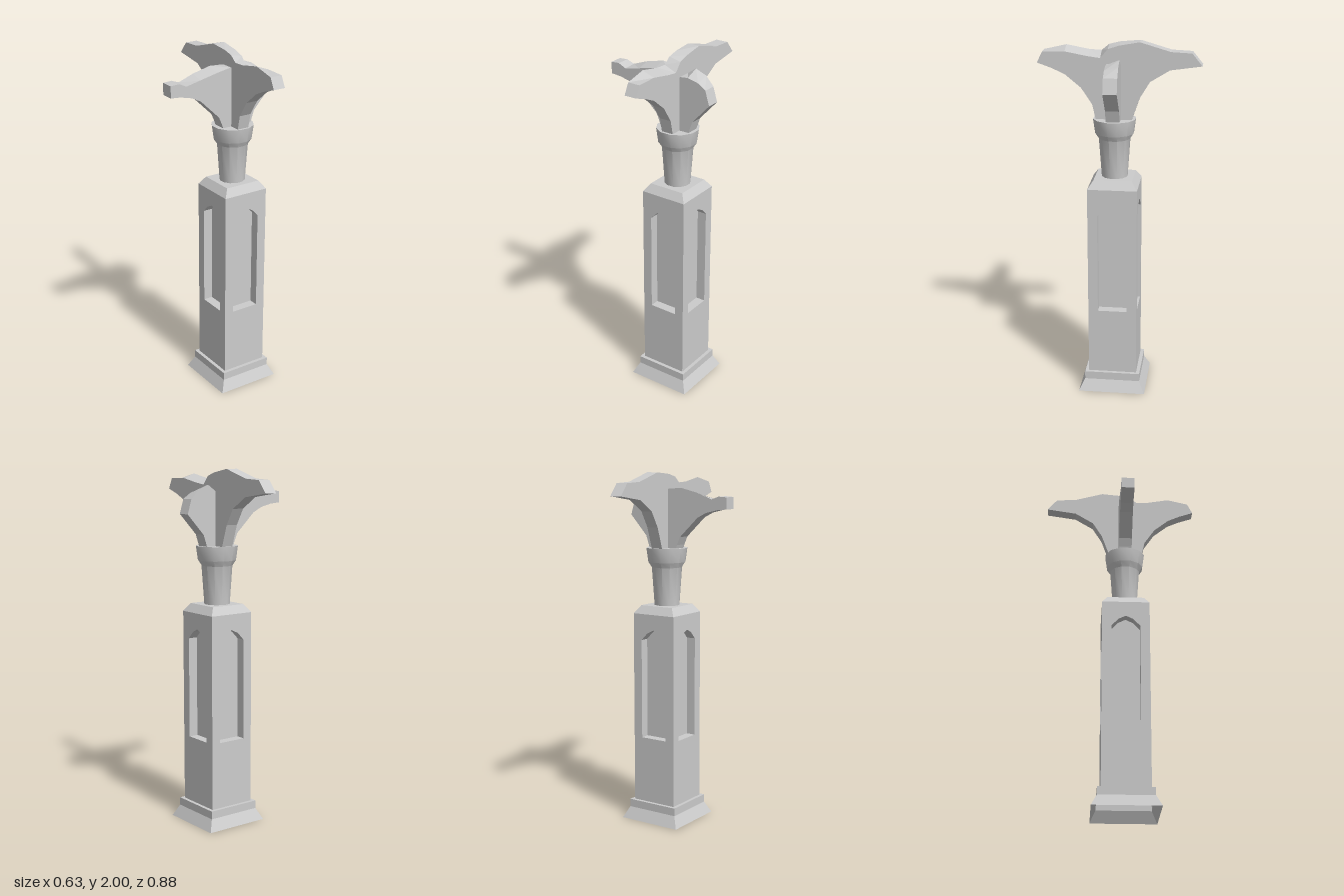
import * as THREE from 'three';
import { toCreasedNormals } from 'three/addons/utils/BufferGeometryUtils.js';

const stone = new THREE.MeshStandardMaterial({ color: 0xcccccc, side: THREE.DoubleSide });
stone.name = 'grey stone';

function addMesh(parent, name, geometry) {
  const mesh = new THREE.Mesh(geometry, stone);
  mesh.name = name;
  parent.add(mesh);
  return mesh;
}

// Square section swept upward from [half width, y] pairs
function squareLathe(profile) {
  const points = profile.map(([h, y]) => new THREE.Vector2(h * Math.SQRT2, y));
  return toCreasedNormals(new THREE.LatheGeometry(points, 4, Math.PI / 4), 0.1);
}

// Column wall with an arched opening, mitred at the corners
function wallGeometry(half, inner, bottom, top) {
  const shape = new THREE.Shape([[-half, bottom], [half, bottom], [half, top], [-half, top]]
    .map(p => new THREE.Vector2(...p)));
  const arch = [[-inner, 0.49], [-inner, 1.06], [-0.042, 1.102], [0, 1.122],
    [0.042, 1.102], [inner, 1.06], [inner, 0.49]];
  shape.holes.push(new THREE.Path(arch.map(p => new THREE.Vector2(...p))));
  const geo = new THREE.ExtrudeGeometry(shape, { depth: half - inner, bevelEnabled: false });
  geo.translate(0, 0, inner);
  const pos = geo.attributes.position;
  for (let i = 0; i < pos.count; i++) {
    const x = pos.getX(i);
    if (pos.getZ(i) < inner + 0.001 && Math.abs(x) > inner + 0.001) pos.setX(i, Math.sign(x) * inner);
  }
  geo.computeVertexNormals();
  return geo;
}

// Slab leaf from [along, y, drop]; drop lowers that point on one side for a faceted top
function leafGeometry(outline, thickness, lowSide) {
  const shape = new THREE.Shape(outline.map(([u, y]) => new THREE.Vector2(u, y)));
  const geo = new THREE.ExtrudeGeometry(shape, { depth: thickness, bevelEnabled: false });
  geo.translate(0, 0, -thickness / 2);
  const pos = geo.attributes.position;
  for (let i = 0; i < pos.count; i++) {
    if (pos.getZ(i) * lowSide < 0) continue;
    const hit = outline.find(([u, y]) =>
      Math.abs(u - pos.getX(i)) < 1e-4 && Math.abs(y - pos.getY(i)) < 1e-4);
    if (hit && hit[2]) pos.setY(i, hit[1] - hit[2]);
  }
  geo.computeVertexNormals();
  return geo;
}

export function createModel() {
  const model = new THREE.Group();
  model.name = 'stonePillar';
  const post = new THREE.Group();
  post.name = 'post';
  post.position.set(0.094, 0, 0.028);
  model.add(post);

  // Flared foot, hollow underneath
  addMesh(post, 'foot', squareLathe([[0.188, 0], [0.156, 0.065], [0.156, 0.11], [0.13, 0.11]]));

  // Column core and four walls with arched niches
  const half = 0.136, inner = 0.082;
  const core = addMesh(post, 'columnCore', new THREE.BoxGeometry(inner * 2, 1.1, inner * 2));
  core.position.y = 0.66;
  const floor = addMesh(post, 'columnUnderside', new THREE.BoxGeometry(half * 2, 0.01, half * 2));
  floor.position.y = 0.115;
  const wall = wallGeometry(half, inner, 0.11, 1.21);
  for (let i = 0; i < 4; i++) {
    addMesh(post, 'nicheWall', wall).rotation.y = i * Math.PI / 2;
  }
  addMesh(post, 'columnCap', squareLathe([[half, 1.21], [0.105, 1.255], [0, 1.255]]));

  // Round neck widening to a cup
  const neck = [[0.072, 1.255], [0.087, 1.47], [0.107, 1.5], [0.118, 1.58], [0, 1.58]]
    .map(p => new THREE.Vector2(...p));
  addMesh(post, 'neckCup', toCreasedNormals(new THREE.LatheGeometry(neck, 12, Math.PI / 12), 0.6));

  // Crossed leaf slabs, drawn in model coordinates
  const sideOutline = [
    [0.01, 1.57], [0, 1.6], [-0.02, 1.645], [-0.135, 1.755], [-0.19, 1.783], [-0.26, 1.8],
    [-0.32, 1.805], [-0.32, 1.87], [-0.27, 1.873], [-0.225, 1.857, 0.005], [-0.135, 1.89, 0.02],
    [-0.03, 1.915, 0.02], [0.055, 1.91], [0.13, 1.88], [0.18, 1.915, 0.03],
    [0.245, 1.89, 0.02], [0.29, 1.84], [0.315, 1.76], [0.21, 1.645], [0.195, 1.6], [0.185, 1.57],
  ].reverse();
  addMesh(model, 'sideLeaf', leafGeometry(sideOutline, 0.075, 1)).position.z = 0.028;

  const frontOutline = [
    [0.125, 1.57], [0.145, 1.66], [0.205, 1.75], [0.29, 1.82], [0.36, 1.852], [0.44, 1.88],
    [0.41, 1.94], [0.29, 1.968, 0.025], [0.165, 1.945, 0.025], [0.1, 1.942, 0.03],
    [0.06, 1.975, 0.015], [0, 1.99, 0.01], [-0.11, 2], [-0.275, 1.952], [-0.385, 1.947],
    [-0.44, 1.88], [-0.27, 1.855], [-0.165, 1.79], [-0.11, 1.7], [-0.065, 1.57],
  ];
  const frontLeaf = addMesh(model, 'frontBackLeaf', leafGeometry(frontOutline, 0.07, -1));
  frontLeaf.rotation.y = -Math.PI / 2;
  frontLeaf.position.x = 0.095;

  return model;
}
